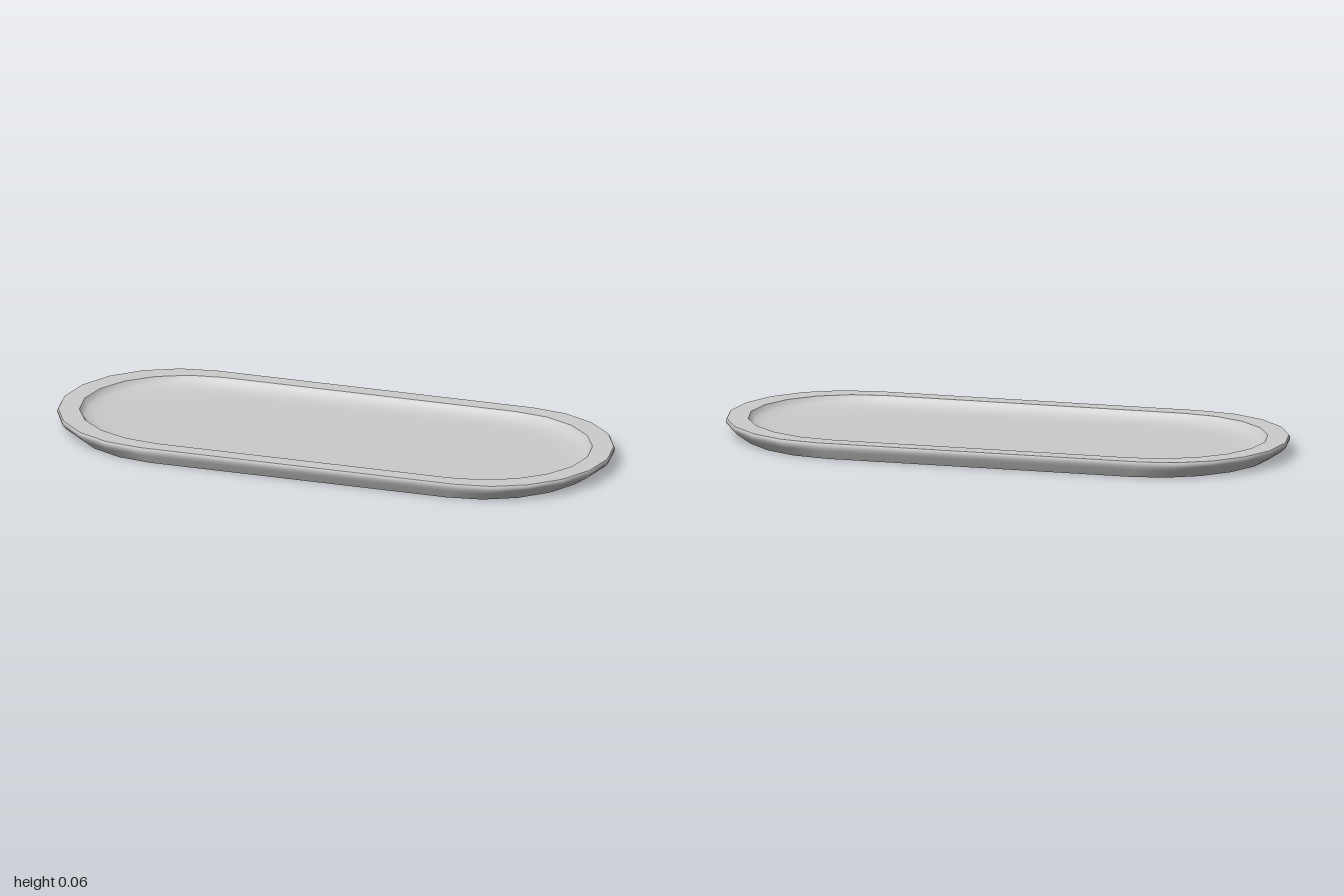
import * as THREE from 'three';

const STEPS = 10;        // segments per rounded end
const RADIUS = 0.42;     // end radius
const STRAIGHT = 0.58;   // half length of the straight sides

// Stadium outline, scaled to half length hx and half depth hz at height y
function ring([hx, hz, y]) {
  const points = [];
  for (const side of [1, -1]) {
    for (let i = 0; i <= STEPS; i++) {
      const a = -Math.PI / 2 + (Math.PI * i) / STEPS;
      const x = side * (STRAIGHT + RADIUS * Math.cos(a));
      const z = side * RADIUS * Math.sin(a);
      points.push([x * hx, y, (z * hz) / RADIUS]);
    }
  }
  return points;
}

// Smooth skin through a series of rings; a ring of zero size closes the skin
function skin(name, sections, material) {
  const rings = sections.map(ring);
  const n = rings[0].length;
  const index = [];
  for (let r = 0; r < rings.length - 1; r++) {
    for (let i = 0; i < n; i++) {
      const a = r * n + i, b = r * n + ((i + 1) % n);
      const c = a + n, d = b + n;
      if (sections[r][0] > 0) index.push(a, c, b);
      if (sections[r + 1][0] > 0) index.push(b, c, d);
      else if (sections[r][0] > 0) continue;
    }
  }
  const geometry = new THREE.BufferGeometry();
  geometry.setAttribute('position', new THREE.Float32BufferAttribute(rings.flat(2), 3));
  geometry.setIndex(index);
  geometry.computeVertexNormals();
  const mesh = new THREE.Mesh(geometry, material);
  mesh.name = name;
  return mesh;
}

export function createModel() {
  const tray = new THREE.Group();
  tray.name = 'ovalTray';
  const material = new THREE.MeshStandardMaterial({ color: 0xcccccc });

  // Sections are [half length, half depth, height]; separate skins keep edges sharp
  tray.add(
    skin('base', [[0, 0, 0], [0.94, 0.395, 0]], material),
    skin('outerWall', [
      [0.94, 0.395, 0], [0.985, 0.413, 0.03], [0.998, 0.419, 0.043],
      [1, 0.42, 0.053], [0.996, 0.417, 0.06],
    ], material),
    skin('rim', [[0.996, 0.417, 0.06], [0.923, 0.358, 0.06]], material),
    skin('basin', [
      [0.923, 0.358, 0.06], [0.917, 0.352, 0.05], [0.905, 0.341, 0.037],
      [0.87, 0.315, 0.029], [0.8, 0.27, 0.026], [0, 0, 0.026],
    ], material),
  );
  return tray;
}
